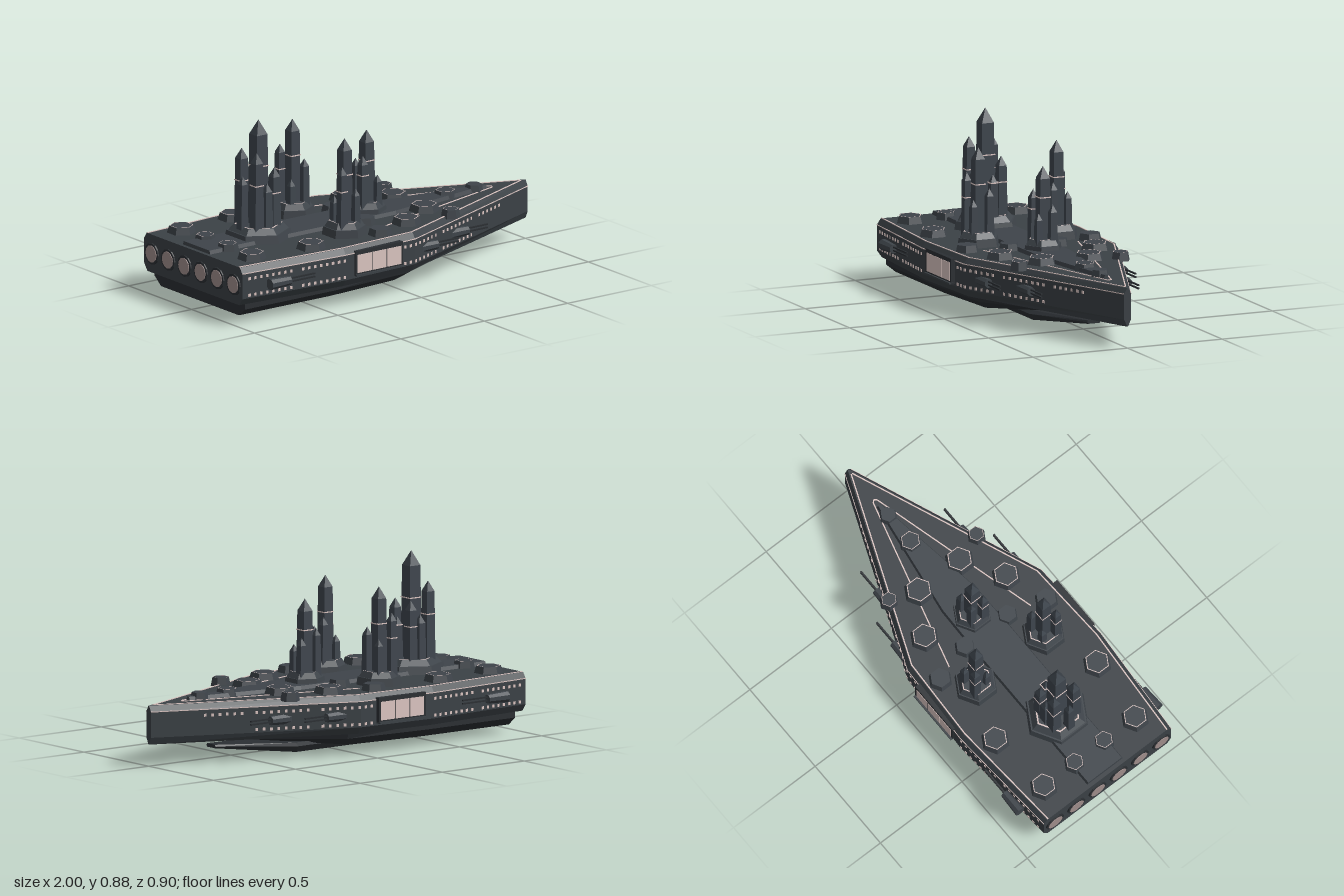
import * as THREE from 'three';
import { mergeGeometries } from 'three/addons/utils/BufferGeometryUtils.js';

const mat = (name, color) => Object.assign(new THREE.MeshStandardMaterial({ color }), { name });

// Flat normals for faceted parts
function flat(geo) {
  const g = geo.index ? geo.toNonIndexed() : geo;
  g.computeVertexNormals();
  return g;
}

// Stack half outlines [x, z, y], mirrored over z, from the bottom to the top
function loft(levels) {
  const v = [];
  const quad = (a, b, c, d) => v.push(...a, ...b, ...c, ...a, ...c, ...d);
  const left = levels.map(l => l.map(([x, z, y]) => [x, y, z]));
  const right = levels.map(l => l.map(([x, z, y]) => [x, y, -z]));
  const loops = left.map((l, i) => [...l, ...[...right[i]].reverse()]);
  for (let k = 0; k < loops.length - 1; k++) {
    const a = loops[k], b = loops[k + 1];
    a.forEach((p, i) => {
      const j = (i + 1) % a.length;
      quad(p, a[j], b[j], b[i]);
    });
  }
  const t = levels.length - 1;
  for (let i = 0; i < left[0].length - 1; i++) {
    quad(right[0][i], right[0][i + 1], left[0][i + 1], left[0][i]);
    quad(left[t][i], left[t][i + 1], right[t][i + 1], right[t][i]);
  }
  const g = new THREE.BufferGeometry();
  g.setAttribute('position', new THREE.Float32BufferAttribute(v, 3));
  g.computeVertexNormals();
  return g;
}

const OUTLINE = [[-0.99, 0.39], [-0.4, 0.43], [0.03, 0.41], [1, 0.018]];
const level = (pts, y, inset = 0) => pts.map(([x, z]) => [x, Math.max(z - inset, 0.002), y]);

// Hull half width and wall angle at a given x
function wall(x) {
  let i = 0;
  while (i < 2 && x > OUTLINE[i + 1][0]) i++;
  const [x0, z0] = OUTLINE[i], [x1, z1] = OUTLINE[i + 1];
  return { z: z0 + (z1 - z0) * (x - x0) / (x1 - x0), angle: Math.atan2(z0 - z1, x1 - x0) };
}

export function createModel() {
  const model = new THREE.Group();
  model.name = 'spiredShip';
  const hullMat = mat('hull grey', 0x3b4146);
  const deckMat = mat('deck grey', 0x3e444a);
  const spireMat = mat('spire slate', 0x3f464e);
  const darkMat = mat('underside charcoal', 0x2b2f33);
  const glowMat = mat('pale window', 0xdcc6c2);
  const engineMat = mat('engine glow', 0xa08e8c);

  const add = (name, geo, material, x = 0, y = 0, z = 0, parent = model) => {
    const m = new THREE.Mesh(geo, material);
    m.name = name;
    m.position.set(x, y, z);
    parent.add(m);
    return m;
  };

  // Main hull, lower hull and keel
  add('hull', loft([level(OUTLINE, 0.105, 0.025), level(OUTLINE, 0.14), level(OUTLINE, 0.265),
    level(OUTLINE, 0.294, 0.02)]), hullMat);
  add('lowerHull', loft([
    level([[-0.95, 0.31], [-0.4, 0.31], [0, 0.28], [0.15, 0.05]], 0.035),
    level([[-0.95, 0.36], [-0.4, 0.36], [0.05, 0.33], [0.42, 0.05]], 0.075),
    level([[-0.95, 0.36], [-0.4, 0.36], [0.05, 0.34], [0.66, 0.03]], 0.106)]), darkMat);
  add('keel', loft([
    [[-0.86, 0.125, 0], [0.2, 0.125, 0], [0.62, 0.03, 0.05]],
    [[-0.86, 0.143, 0.03], [0.2, 0.143, 0.03], [0.62, 0.035, 0.058]],
    [[-0.86, 0.12, 0.045], [0.2, 0.12, 0.045], [0.62, 0.03, 0.067]]]), darkMat);

  // Raised centre deck
  const spine = [[-0.97, 0.11], [-0.1, 0.11], [0.15, 0.105], [0.76, 0.015]];
  add('centreDeck', loft([level(spine, 0.29), level(spine, 0.312, 0.008)]), deckMat);

  // Thin glowing trim lines, merged into one mesh
  const trim = [];
  const line = ([x0, z0], [x1, z1], y, w = 0.006, h = 0.004) => {
    for (const s of [1, -1]) {
      const g = new THREE.BoxGeometry(Math.hypot(x1 - x0, z1 - z0), h, w);
      g.rotateY(s * Math.atan2(z0 - z1, x1 - x0));
      trim.push(g.translate((x0 + x1) / 2, y, s * (z0 + z1) / 2));
    }
  };
  for (let i = 0; i < 3; i++) {
    const [a, b] = [OUTLINE[i], OUTLINE[i + 1]];
    line(a, b, 0.265, 0.003);
    const inner = ([x, z]) => [Math.min(x, 0.97), Math.max(z - 0.026, 0.003)];
    line(inner(a), inner(b), 0.295);
  }
  line([-0.09, 0.25], [0.79, 0.012], 0.295);
  line([0.79, 0.012], [0.8, 0], 0.295);
  add('trimLines', mergeGeometries(trim), glowMat);

  // Rows of small windows along both sides
  const panes = [];
  for (const [y, end] of [[0.237, 0.76], [0.155, 0.54]]) {
    for (let i = 0; -0.95 + i * 0.034 < end; i++) {
      const x = -0.95 + i * 0.034;
      if ((x > -0.38 && x < -0.04) || i % 9 === 8) continue;
      const { z, angle } = wall(x);
      for (const s of [1, -1]) {
        panes.push(new THREE.BoxGeometry(0.013, 0.014, 0.005).rotateY(s * angle).translate(x, y, s * z));
      }
    }
  }
  add('sideWindows', mergeGeometries(panes), glowMat);

  for (const s of [1, -1]) {
    // Large window bay
    const bay = new THREE.Group();
    bay.name = s > 0 ? 'windowBayLeft' : 'windowBayRight';
    model.add(bay);
    add('bayFrame', new THREE.BoxGeometry(0.285, 0.125, 0.04), darkMat, -0.203, 0.213, s * 0.415, bay);
    add('bayLedge', new THREE.BoxGeometry(0.285, 0.008, 0.05), hullMat, -0.203, 0.155, s * 0.42, bay);
    for (let i = -1; i <= 1; i++) {
      add('bayPane', new THREE.BoxGeometry(0.084, 0.09, 0.006), glowMat, -0.203 + i * 0.089, 0.211, s * 0.434, bay);
    }
    // Gun pods with long barrels
    for (const [x, z, tip] of [[-0.79, 0.422, -0.58], [0.14, 0.358, 0.33], [0.4, 0.256, 0.58]]) {
      const pod = new THREE.Group();
      pod.name = 'gunPod';
      pod.position.set(x, 0.197, s * z);
      model.add(pod);
      const body = new THREE.CylinderGeometry(0.022, 0.028, 0.12, 8).rotateY(Math.PI / 8).rotateZ(-Math.PI / 2);
      add('podBody', flat(body), deckMat, 0, 0, 0, pod);
      const length = tip - x;
      for (const dy of [-0.007, 0.009]) {
        add('podBarrel', new THREE.BoxGeometry(length, 0.007, 0.008), darkMat, length / 2, dy, 0, pod);
      }
    }
  }

  // Six stern engines
  for (let i = 0; i < 6; i++) {
    const z = (i - 2.5) * 0.13;
    const disc = (r, w) => flat(new THREE.CylinderGeometry(r, r, w, 12).rotateZ(Math.PI / 2));
    add('engineRing', disc(0.053, 0.02), darkMat, -0.987, 0.2, z);
    add('engineGlow', disc(0.042, 0.006), engineMat, -0.997, 0.2, z);
  }

  // Hexagonal deck pad with an optional glowing outline
  const hexRing = r => new THREE.RingGeometry(r * 0.93, r, 6, 1, Math.PI / 2).rotateX(-Math.PI / 2);
  const pad = (x, z, r, lit, y = 0.328) => {
    add('deckPad', flat(new THREE.CylinderGeometry(r * 0.82, r, y - 0.285, 6)), deckMat, x, (y + 0.285) / 2, z);
    if (lit) add('padOutline', hexRing(r * 0.8), glowMat, x, y + 0.001, z);
  };
  for (const s of [1, -1]) {
    [[-0.85, 0.28, 0.073, 1], [-0.85, 0.09, 0.055, 1], [-0.52, 0.312, 0.075, 1], [-0.115, 0.325, 0.062, 0],
      [-0.06, 0.13, 0.055, 0], [0.1, 0.25, 0.076, 1], [0.3, 0.125, 0.078, 1], [0.35, 0.268, 0.048, 1]]
      .forEach(([x, z, r, lit]) => pad(x, s * z, r, lit));
  }
  pad(0.52, 0, 0.06, 1);
  pad(0.69, 0, 0.047, 0);

  // Square tapered spire with a pyramid tip and an optional glowing band
  const spire = (parent, x, z, top, r, band) => {
    const tip = r * 2.1, base = 0.33, h = top - tip - base;
    const four = (a, b, height) => flat(new THREE.CylinderGeometry(a * Math.SQRT2, b * Math.SQRT2, height, 4, 1)
      .rotateY(Math.PI / 4));
    add('spireShaft', four(r * 0.92, r * 1.08, h), spireMat, x, base + h / 2, z, parent);
    add('spireTip', flat(new THREE.ConeGeometry(r * 0.92 * Math.SQRT2, tip, 4).rotateY(Math.PI / 4)), spireMat,
      x, top - tip / 2, z, parent);
    if (band) add('spireBand', new THREE.BoxGeometry(r * 2.12, 0.005, r * 2.12), glowMat, x, band, z, parent);
  };

  // Spire cluster on a stepped hexagonal base
  const tower = (name, x, z, r, spires, mirror = 1) => {
    const g = new THREE.Group();
    g.name = name;
    g.position.set(x, 0, z);
    model.add(g);
    add('towerStep', flat(new THREE.CylinderGeometry(r * 0.94, r, 0.04, 6)), deckMat, 0, 0.313, 0, g);
    add('towerBase', flat(new THREE.CylinderGeometry(r * 0.72, r * 0.9, 0.03, 6)), deckMat, 0, 0.346, 0, g);
    add('towerOutline', hexRing(r * 0.8), glowMat, 0, 0.362, 0, g).scale.setScalar(0.88);
    spires.forEach(([sx, sz, top, w, band]) => spire(g, sx, sz * mirror, top, w, band));
  };
  const main = [[0, 0, 0.877, 0.034, 0.65], [-0.095, 0, 0.61, 0.019, 0], [0.085, 0, 0.565, 0.019, 0.525]];
  for (const s of [1, -1]) {
    main.push([-0.055, s * 0.06, 0.732, 0.024, 0.572], [0.05, s * 0.06, 0.645, 0.022, 0.52],
      [0, s * 0.068, 0.575, 0.02, 0]);
  }
  tower('mainTower', -0.6, 0, 0.165, main);
  tower('bowTower', 0.048, 0, 0.1, [[0, 0, 0.712, 0.028, 0.562], [-0.045, 0.03, 0.595, 0.02, 0.5],
    [-0.04, -0.035, 0.57, 0.017, 0], [0.045, -0.03, 0.53, 0.018, 0], [0.035, 0.04, 0.49, 0.016, 0]]);
  const flank = [[0, 0, 0.768, 0.027, 0.59], [-0.045, 0.04, 0.642, 0.019, 0.52], [0.042, -0.038, 0.572, 0.018, 0],
    [0.035, 0.042, 0.52, 0.016, 0], [-0.035, -0.035, 0.48, 0.016, 0]];
  tower('flankTowerLeft', -0.24, 0.207, 0.11, flank);
  tower('flankTowerRight', -0.24, -0.207, 0.11, flank, -1);

  return model;
}
